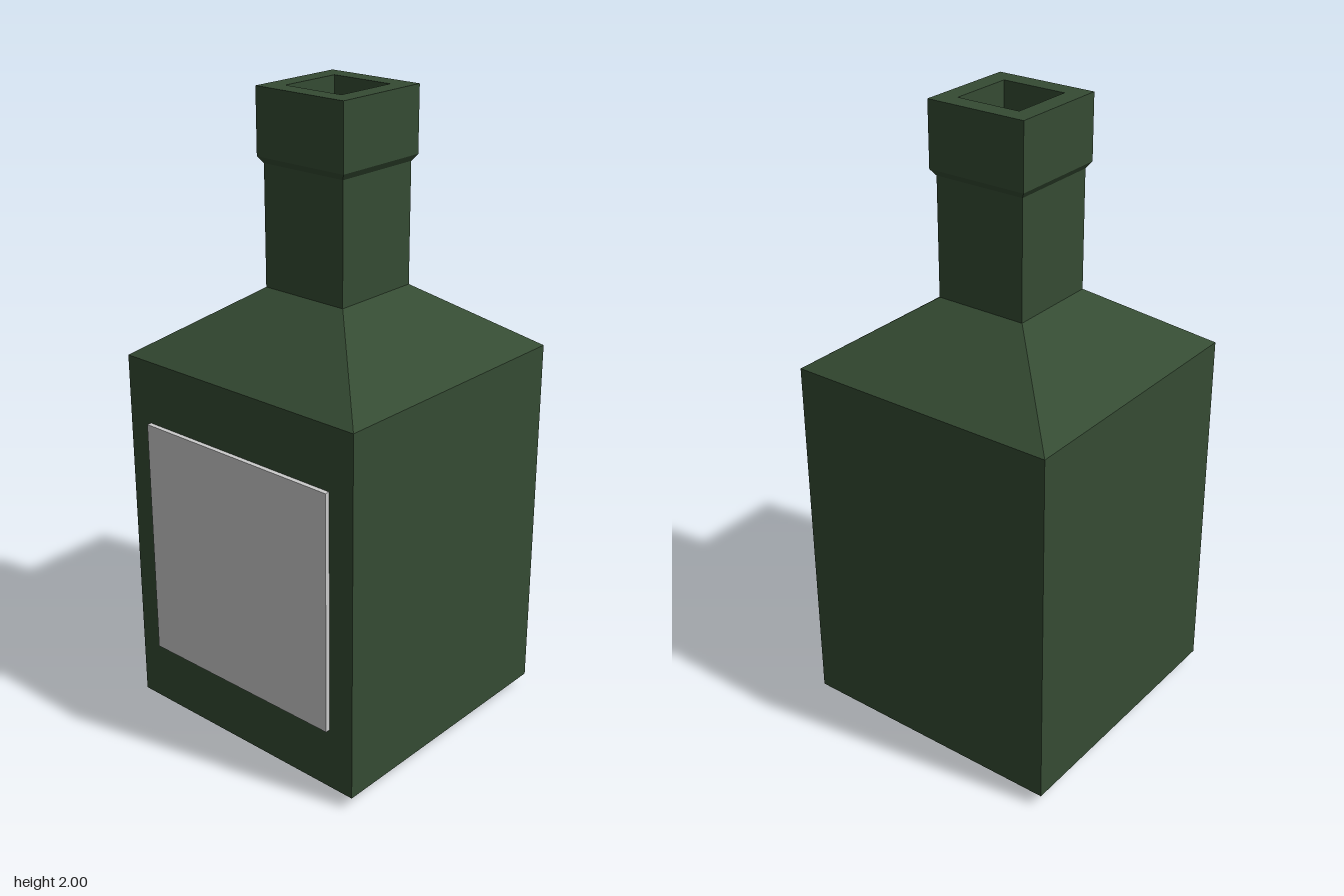
import * as THREE from 'three';

// Square-section turned shape: profile of [half width, height], bottom to top
function squareLathe(profile) {
  const points = profile.map(([half, y]) => new THREE.Vector2(half * Math.SQRT2, y));
  return new THREE.LatheGeometry(points, 4, Math.PI / 4);
}

export function createModel() {
  const group = new THREE.Group();
  group.name = 'squareBottle';

  const glass = new THREE.MeshStandardMaterial({ color: 0x354b33, flatShading: true });
  const paper = new THREE.MeshStandardMaterial({ color: 0xcccccc, flatShading: true });

  // Bottle: recessed base, body, sloped shoulder, neck, collar and hollow mouth
  const bottle = new THREE.Mesh(squareLathe([
    [0, 0.03], [0.29, 0.03], [0.32, 0], [0.375, 0],  // base
    [0.442, 0.04], [0.442, 1.207],                   // body
    [0.149, 1.41], [0.149, 1.78],                    // shoulder and neck
    [0.163, 1.8], [0.163, 2],                        // collar
    [0.104, 2], [0.104, 1.8], [0, 1.8],              // mouth
  ]), glass);
  bottle.name = 'bottle';
  bottle.position.z = -0.008;
  group.add(bottle);

  // Thin blank label on the front face
  const label = new THREE.Mesh(new THREE.BoxGeometry(0.712, 0.77, 0.02), paper);
  label.name = 'label';
  label.position.set(0, 0.625, 0.439);
  group.add(label);

  return group;
}
